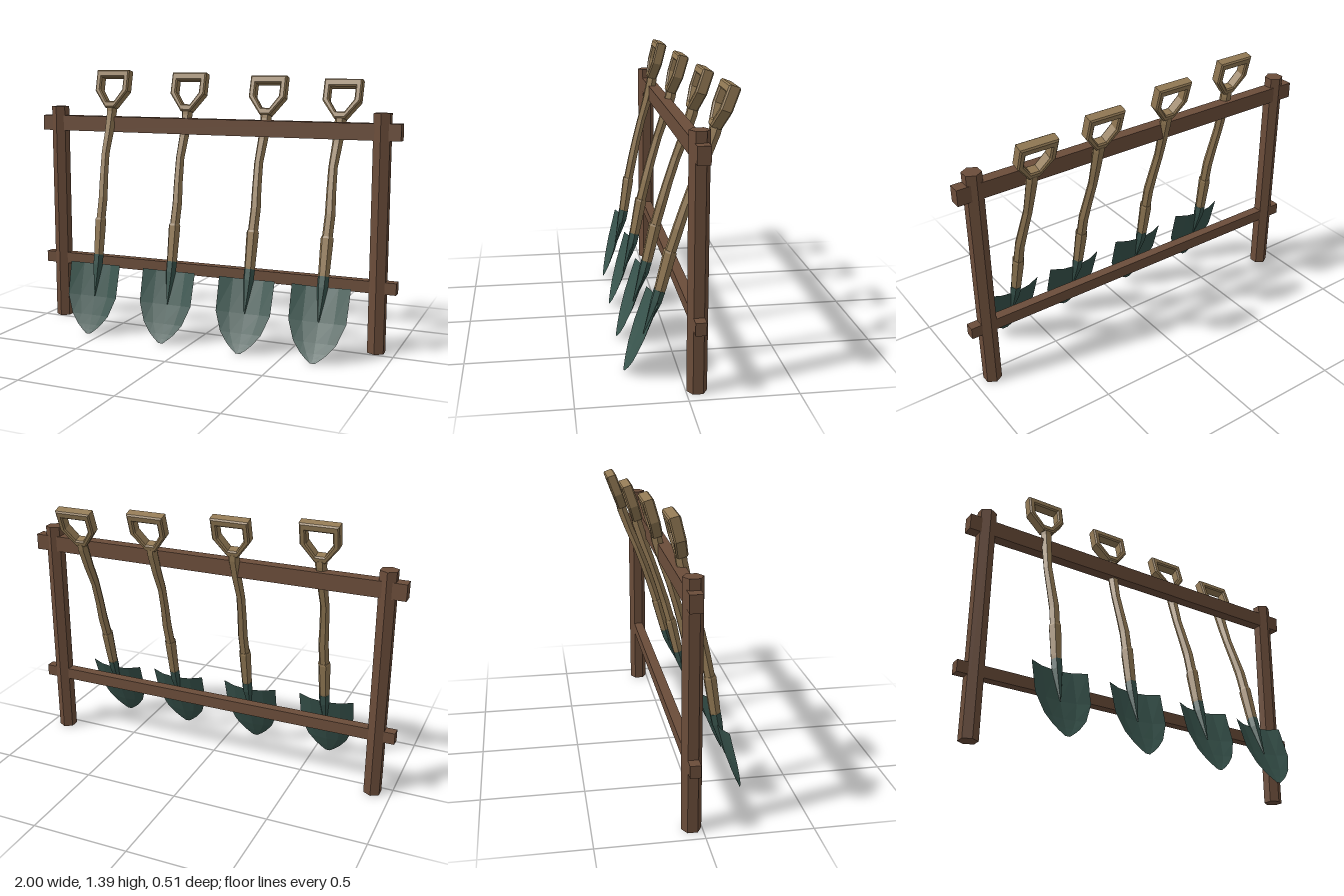
import * as THREE from 'three';

const rackWood = new THREE.MeshStandardMaterial({ name: 'dark rack wood', color: 0x6b4d3a, flatShading: true });
const shaftWood = new THREE.MeshStandardMaterial({ name: 'pale handle wood', color: 0x937a55, flatShading: true });
const steel = new THREE.MeshStandardMaterial({
  name: 'green steel', color: 0x38544d, flatShading: true, side: THREE.DoubleSide,
});

function addMesh(parent, name, geometry, material, x = 0, y = 0, z = 0) {
  const mesh = new THREE.Mesh(geometry, material);
  mesh.name = name;
  mesh.position.set(x, y, z);
  parent.add(mesh);
  return mesh;
}

function gridGeometry(points, index) {
  const g = new THREE.BufferGeometry();
  g.setAttribute('position', new THREE.Float32BufferAttribute(points, 3));
  g.setIndex(index);
  const flat = g.toNonIndexed();
  flat.computeVertexNormals();
  return flat;
}

// Closed many-sided rod through stations [y, x, z, radius]
function rod(stations, sides = 6) {
  const points = [], index = [];
  for (const [y, x, z, r] of stations) {
    for (let j = 0; j < sides; j++) {
      const a = (j / sides) * Math.PI * 2;
      points.push(x + r * Math.cos(a), y, z + r * Math.sin(a));
    }
  }
  const last = (stations.length - 1) * sides;
  for (let j = 0; j < sides; j++) {
    const k = (j + 1) % sides;
    for (let i = 0; i < last; i += sides) {
      index.push(i + j, i + sides + j, i + k, i + k, i + sides + j, i + sides + k);
    }
    if (j > 0 && j < sides - 1) index.push(0, j, j + 1, last, last + j + 1, last + j);
  }
  return gridGeometry(points, index);
}

// Dished blade: rows of [y, half width, depth of the hollow]
function bladeGeometry() {
  const rows = [
    [0, 0.012, 0], [0.022, 0.04, 0.005], [0.048, 0.068, 0.01], [0.1, 0.108, 0.018],
    [0.2, 0.145, 0.029], [0.375, 0.149, 0.037],
  ];
  const columns = [-1, -0.55, 0, 0.55, 1], n = columns.length;
  const points = [], index = [];
  rows.forEach(([y, half, depth], i) => {
    columns.forEach((u, j) => {
      points.push(u * half, y, -depth * (1 - u * u));
      if (i && j) {
        const d = i * n + j, c = d - 1, b = d - n, a = b - 1;
        index.push(a, b, d, a, d, c);
      }
    });
  });
  return gridGeometry(points, index);
}

// D-shaped grip with an opening for the hand
function gripGeometry() {
  const b = 0.007, depth = 0.042;
  const outline = (pts) => pts.map(([x, y]) => new THREE.Vector2(x, y));
  const shape = new THREE.Shape(outline([
    [-0.024, 1.225], [0.024, 1.225], [0.091, 1.313], [0.091, 1.418], [-0.091, 1.418], [-0.091, 1.313],
  ]));
  shape.holes.push(new THREE.Path(outline([
    [-0.026, 1.247], [-0.073, 1.316], [-0.073, 1.392], [0.073, 1.392], [0.073, 1.316], [0.026, 1.247],
  ])));
  const g = new THREE.ExtrudeGeometry(shape, {
    depth, bevelEnabled: true, bevelSize: b, bevelThickness: b, bevelSegments: 1,
  });
  return g.translate(0, 0, -depth / 2);
}

const blade = bladeGeometry();
const grip = gripGeometry();
const neck = rod([
  [0.2, 0, -0.028, 0.003], [0.3, 0, -0.03, 0.018], [0.37, 0, -0.03, 0.028], [0.425, 0, -0.027, 0.029],
]);
const sleeve = rod([[0.4, 0, -0.029, 0.026], [0.44, 0, -0.026, 0.029], [0.61, 0, -0.01, 0.033], [0.62, 0, -0.009, 0.03]]);
// Slightly crooked shaft
const shaft = rod([
  [0.6, 0, -0.011, 0.027], [0.73, 0.003, -0.005, 0.027], [0.84, -0.004, -0.003, 0.025],
  [0.97, -0.01, -0.004, 0.024], [1.09, -0.003, -0.008, 0.027], [1.2, 0.001, -0.007, 0.03],
  [1.23, 0, -0.003, 0.03],
]);

function createShovel(x, leanDegrees) {
  const shovel = new THREE.Group();
  shovel.name = 'shovel';
  addMesh(shovel, 'blade', blade, steel);
  addMesh(shovel, 'bladeNeck', neck, steel);
  addMesh(shovel, 'sleeve', sleeve, shaftWood);
  addMesh(shovel, 'shaft', shaft, shaftWood);
  addMesh(shovel, 'grip', grip, shaftWood);
  shovel.position.set(x, 0.002, 0.254);
  shovel.rotation.x = -THREE.MathUtils.degToRad(leanDegrees);
  return shovel;
}

export function createModel() {
  const model = new THREE.Group();
  model.name = 'shovelRack';

  // Rack: two six-sided posts and two rails
  const rackZ = -0.05;
  for (const side of [-1, 1]) {
    const post = new THREE.CylinderGeometry(0.047, 0.047, 1.19, 6);
    addMesh(model, side > 0 ? 'leftPost' : 'rightPost', post, rackWood, side * 0.905, 0.595, rackZ);
  }
  addMesh(model, 'upperRail', new THREE.BoxGeometry(2, 0.082, 0.06), rackWood, 0, 1.099, rackZ - 0.003);
  addMesh(model, 'lowerRail', new THREE.BoxGeometry(2, 0.06, 0.05), rackWood, 0, 0.335, rackZ);

  // Shovels leaning further back one by one
  for (const [x, lean] of [[-0.575, 13.9], [-0.146, 16.1], [0.282, 18.1], [0.665, 19.9]]) {
    model.add(createShovel(x, lean));
  }
  return model;
}
